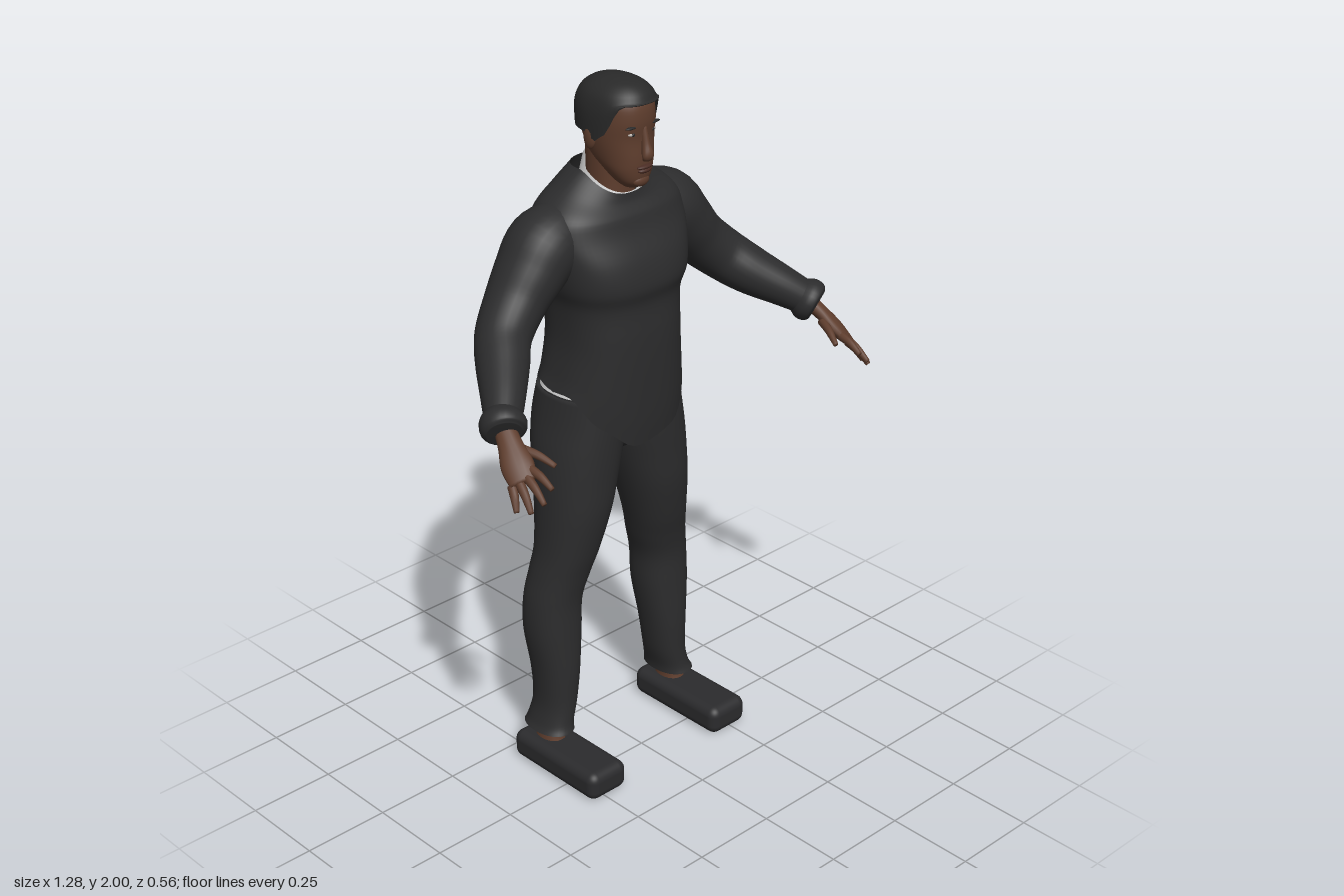
import * as THREE from 'three';
import { RoundedBoxGeometry } from 'three/addons/geometries/RoundedBoxGeometry.js';

const mat = (name, color, side = THREE.FrontSide) => {
  const m = new THREE.MeshStandardMaterial({ color, side });
  m.name = name;
  return m;
};
const clamp = (v) => Math.min(1, Math.max(0, v));

// Catmull-Rom interpolation of every column of a row table
function smooth(rows, sub = 5) {
  const out = [];
  const at = (i) => rows[Math.min(rows.length - 1, Math.max(0, i))];
  for (let i = 0; i < rows.length - 1; i++) {
    for (let k = 0; k < sub; k++) {
      const t = k / sub;
      out.push(rows[i].map((p1, c) => {
        const p0 = at(i - 1)[c], p2 = at(i + 1)[c], p3 = at(i + 2)[c];
        return p1 + 0.5 * t * (p2 - p0 + t * (2 * p0 - 5 * p1 + 4 * p2 - p3 + t * (3 * (p1 - p2) + p3 - p0)));
      }));
    }
  }
  out.push(rows[rows.length - 1]);
  return out;
}

// Skin a list of closed rings, each with n points
function skin(rings, capStart, capEnd) {
  const n = rings[0].length, pos = [], idx = [];
  rings.forEach((r) => r.forEach((p) => pos.push(p.x, p.y, p.z)));
  for (let i = 0; i < rings.length - 1; i++) {
    for (let j = 0; j < n; j++) {
      const k = (j + 1) % n, a = i * n + j, b = i * n + k;
      idx.push(a, b, b + n, a, b + n, a + n);
    }
  }
  const cap = (ring, start, flip) => {
    const c = new THREE.Vector3();
    ring.forEach((p) => c.addScaledVector(p, 1 / n));
    const id = pos.length / 3;
    pos.push(c.x, c.y, c.z);
    for (let j = 0; j < n; j++) {
      const a = start + j, b = start + (j + 1) % n;
      if (flip) idx.push(id, b, a); else idx.push(id, a, b);
    }
  };
  if (capStart) cap(rings[0], 0, true);
  if (capEnd) cap(rings[rings.length - 1], (rings.length - 1) * n, false);
  const g = new THREE.BufferGeometry();
  g.setAttribute('position', new THREE.Float32BufferAttribute(pos, 3));
  g.setIndex(idx);
  g.computeVertexNormals();
  return g;
}

// Upright loft; rows are [y, centre x, half width, front z, back z], rising
function body(rows, { power = 2.2, lift = () => 0, caps = [false, false], n = 48 } = {}) {
  const e = 2 / power;
  const rings = smooth(rows).map(([y, cx, rx, zf, zb]) => Array.from({ length: n }, (_, j) => {
    const a = j / n * Math.PI * 2, s = Math.sin(a), c = Math.cos(a);
    return new THREE.Vector3(
      cx + rx * Math.sign(s) * Math.abs(s) ** e, y + lift(y, a),
      (zf + zb) / 2 + (zf - zb) / 2 * Math.sign(c) * Math.abs(c) ** e);
  }));
  return skin(rings, ...caps);
}

// Loft along a path; rows are [x, y, z, radius along ref, other radius]
function limb(rows, side = 1, ref = [0.8, -0.6, 0], n = 16) {
  const rs = smooth(rows).map((r) => [r[0] * side, ...r.slice(1)]);
  const pts = rs.map((r) => new THREE.Vector3(r[0], r[1], r[2]));
  const rings = rs.map((r, i) => {
    const t = pts[Math.min(i + 1, pts.length - 1)].clone().sub(pts[Math.max(i - 1, 0)]).normalize();
    const a = new THREE.Vector3(ref[0] * side, ref[1], ref[2]);
    a.addScaledVector(t, -a.dot(t)).normalize();
    const b = t.clone().cross(a);
    return Array.from({ length: n }, (_, j) => {
      const q = j / n * Math.PI * 2;
      return pts[i].clone().addScaledVector(a, Math.cos(q) * r[3]).addScaledVector(b, Math.sin(q) * r[4]);
    });
  });
  return skin(rings, true, true);
}

export function createModel() {
  const model = new THREE.Group();
  model.name = 'standingMan';
  const cloth = mat('charcoal cloth', 0x2c2c2d, THREE.DoubleSide);
  const hairMat = mat('black hair', 0x292929, THREE.DoubleSide);
  const shoeMat = mat('dark shoe', 0x2b2b2d);
  const skinMat = mat('brown skin', 0x5e3d2d);
  const lipMat = mat('dark lips', 0x4a2c24);
  const white = mat('white shirt', 0xe6e6e6, THREE.DoubleSide);
  const eyeMat = mat('eye white', 0xb9b2ac);
  const add = (name, geo, material, parent = model) => {
    const m = new THREE.Mesh(geo, material);
    m.name = name;
    parent.add(m);
    return m;
  };
  const ball = (name, material, p, s) => {
    const m = add(name, new THREE.SphereGeometry(1, 20, 14), material);
    m.position.set(...p);
    m.scale.set(...s);
  };

  // Sweater with a dipped collar and a long rounded front hem
  add('sweater', body([
    [1.165, 0, 0.205, 0.032, -0.278], [1.21, 0, 0.193, 0.04, -0.272], [1.3, 0, 0.18, 0.045, -0.267],
    [1.4, 0, 0.184, 0.04, -0.27], [1.46, 0, 0.202, 0.053, -0.276], [1.53, 0, 0.217, 0.04, -0.278],
    [1.6, 0, 0.23, 0.005, -0.272], [1.66, 0, 0.21, -0.015, -0.258], [1.71, 0, 0.15, -0.03, -0.238],
    [1.755, 0, 0.095, -0.035, -0.215]], {
    power: 2.5, n: 64,
    lift: (y, a) => {
      const f = Math.max(0, Math.cos(a));
      return clamp((1.32 - y) / 0.155) * (-0.165 * f * f + 0.006 * Math.sin(9 * a))
        - 0.06 * f * clamp((y - 1.64) / 0.11);
    },
  }), cloth);

  // White undershirt at the neck and waist
  add('shirtCollar', body([
    [1.66, 0, 0.1, -0.03, -0.21], [1.72, 0, 0.083, -0.035, -0.2], [1.785, 0, 0.074, -0.04, -0.185]],
    { lift: (y, a) => -0.045 * (1 + Math.cos(a)) * clamp((y - 1.64) / 0.14) }), white);
  add('waistBand', body([[1.145, 0, 0.197, 0.005, -0.269], [1.19, 0, 0.19, 0.02, -0.265]], { power: 2.5 }), white);

  // Trousers
  add('trouserHips', body([
    [0.95, 0, 0.04, -0.06, -0.19], [0.985, 0, 0.14, -0.02, -0.245], [1.05, 0, 0.195, 0, -0.265],
    [1.1, 0, 0.2, 0.005, -0.27], [1.152, 0, 0.196, 0.005, -0.267]], { power: 2.4, caps: [true, true] }), cloth);

  // Head, neck and face
  add('neck', body([[1.64, 0, 0.07, -0.05, -0.19], [1.7, 0, 0.06, -0.055, -0.18], [1.85, 0, 0.062, -0.05, -0.185]]), skinMat);
  add('head', body([
    [1.717, 0, 0.026, -0.008, -0.06], [1.735, 0, 0.045, 0.006, -0.085], [1.765, 0, 0.062, 0.012, -0.12],
    [1.8, 0, 0.073, 0.014, -0.165], [1.85, 0, 0.082, 0.012, -0.188], [1.9, 0, 0.084, 0.017, -0.198],
    [1.945, 0, 0.077, 0.01, -0.19], [1.975, 0, 0.052, -0.02, -0.16], [1.988, 0, 0.015, -0.07, -0.11]],
    { caps: [true, true] }), skinMat);
  add('hair', body([
    [1.862, 0, 0.094, 0.022, -0.206], [1.92, 0, 0.092, 0.025, -0.21], [1.96, 0, 0.08, 0.015, -0.195],
    [1.985, 0, 0.055, -0.012, -0.165], [1.997, 0, 0.025, -0.05, -0.125], [2, 0, 0.004, -0.083, -0.091]], {
    caps: [false, true],
    lift: (y, a) => clamp((1.95 - y) / 0.09) * (0.085 * THREE.MathUtils.smoothstep(Math.cos(a), 0.3, 0.8)
      - 0.02 * clamp(1 - Math.abs(Math.cos(a) - 0.1) * 5)),
  }), hairMat);
  add('nose', limb([[0, 1.885, 0.008, 0.008, 0.008], [0, 1.84, 0.016, 0.011, 0.012], [0, 1.81, 0.024, 0.017, 0.014],
    [0, 1.797, 0.018, 0.012, 0.006]], 1, [1, 0, 0]), skinMat);
  ball('upperLip', lipMat, [0, 1.777, 0.012], [0.026, 0.006, 0.011]);
  ball('lowerLip', lipMat, [0, 1.767, 0.011], [0.022, 0.007, 0.011]);
  ball('chin', skinMat, [0, 1.737, -0.004], [0.028, 0.018, 0.016]);

  for (const s of [1, -1]) {
    const side = s > 0 ? 'left' : 'right';
    ball(side + 'Eye', eyeMat, [s * 0.034, 1.868, 0.001], [0.013, 0.005, 0.007]);
    ball(side + 'Iris', hairMat, [s * 0.034, 1.868, 0.006], [0.005, 0.005, 0.004]);
    ball(side + 'Brow', hairMat, [s * 0.037, 1.887, 0.005], [0.022, 0.004, 0.007]);
    ball(side + 'Ear', skinMat, [s * 0.086, 1.848, -0.1], [0.011, 0.032, 0.02]);

    // Sleeve and flared cuff
    add(side + 'Sleeve', limb([
      [0.13, 1.61, -0.14, 0.08, 0.08], [0.21, 1.575, -0.14, 0.102, 0.1], [0.27, 1.515, -0.135, 0.096, 0.09],
      [0.33, 1.45, -0.125, 0.084, 0.078], [0.395, 1.39, -0.095, 0.075, 0.073], [0.445, 1.345, -0.04, 0.07, 0.068],
      [0.505, 1.3, 0.03, 0.058, 0.056], [0.55, 1.265, 0.08, 0.047, 0.047]], s, [0, 0, 1], 28), cloth);
    add(side + 'Cuff', limb([
      [0.535, 1.278, 0.062, 0.045, 0.045], [0.55, 1.265, 0.08, 0.06, 0.06], [0.563, 1.252, 0.098, 0.059, 0.057],
      [0.568, 1.247, 0.106, 0.045, 0.045]], s, [0, 0, 1], 28), cloth);

    // Hand with four fingers and a thumb
    const hand = new THREE.Group();
    hand.name = side + 'Hand';
    model.add(hand);
    add('palm', limb([[0.555, 1.255, 0.09, 0.028, 0.023], [0.57, 1.225, 0.13, 0.032, 0.02],
      [0.583, 1.19, 0.17, 0.042, 0.02], [0.595, 1.16, 0.208, 0.036, 0.012]], s), skinMat, hand);
    const fingers = [
      ['indexFinger', 0.567, 1.186, 0.195, 0.562, 1.155, 0.276],
      ['middleFinger', 0.583, 1.173, 0.2, 0.592, 1.125, 0.28],
      ['ringFinger', 0.6, 1.159, 0.196, 0.618, 1.102, 0.26],
      ['littleFinger', 0.613, 1.147, 0.185, 0.635, 1.098, 0.225],
      ['thumb', 0.55, 1.215, 0.145, 0.512, 1.185, 0.232]];
    for (const [name, x, y, z, u, v, w] of fingers) {
      add(name, limb([[x, y, z, 0.013, 0.013], [(x + u) / 2, (y + v) / 2 + 0.006, (z + w) / 2, 0.011, 0.011],
        [u, v, w, 0.007, 0.007]], s, undefined, 10), skinMat, hand);
    }

    // Trouser leg
    const leg = [
      [0.115, 0.178, 0.29, -0.052, -0.215], [0.14, 0.175, 0.278, -0.06, -0.208], [0.2, 0.16, 0.266, -0.062, -0.2],
      [0.3, 0.145, 0.27, -0.06, -0.207], [0.42, 0.128, 0.284, -0.064, -0.225], [0.52, 0.122, 0.281, -0.065, -0.226],
      [0.6, 0.1, 0.266, -0.052, -0.22], [0.68, 0.078, 0.252, -0.032, -0.215], [0.8, 0.045, 0.243, -0.01, -0.23],
      [0.9, 0.02, 0.237, -0.004, -0.25], [0.98, 0.004, 0.228, 0, -0.267], [1.06, 0.002, 0.212, 0.002, -0.275],
      [1.14, 0.005, 0.198, 0, -0.265]];
    add(side + 'TrouserLeg', body(leg.map(([y, a, b, f, k]) => [y, s * (a + b) / 2, (b - a) / 2, f, k]),
      { caps: [false, true], n: 36 }), cloth);

    // Ankle and block shoe
    add(side + 'Ankle', body([[0.06, s * 0.235, 0.04, -0.07, -0.18], [0.11, s * 0.233, 0.034, -0.085, -0.17],
      [0.2, s * 0.215, 0.035, -0.085, -0.17]], { n: 20 }), skinMat);
    add(side + 'Shoe', new RoundedBoxGeometry(0.135, 0.085, 0.34, 5, 0.028), shoeMat).position.set(s * 0.237, 0.0425, -0.045);
  }
  return model;
}
